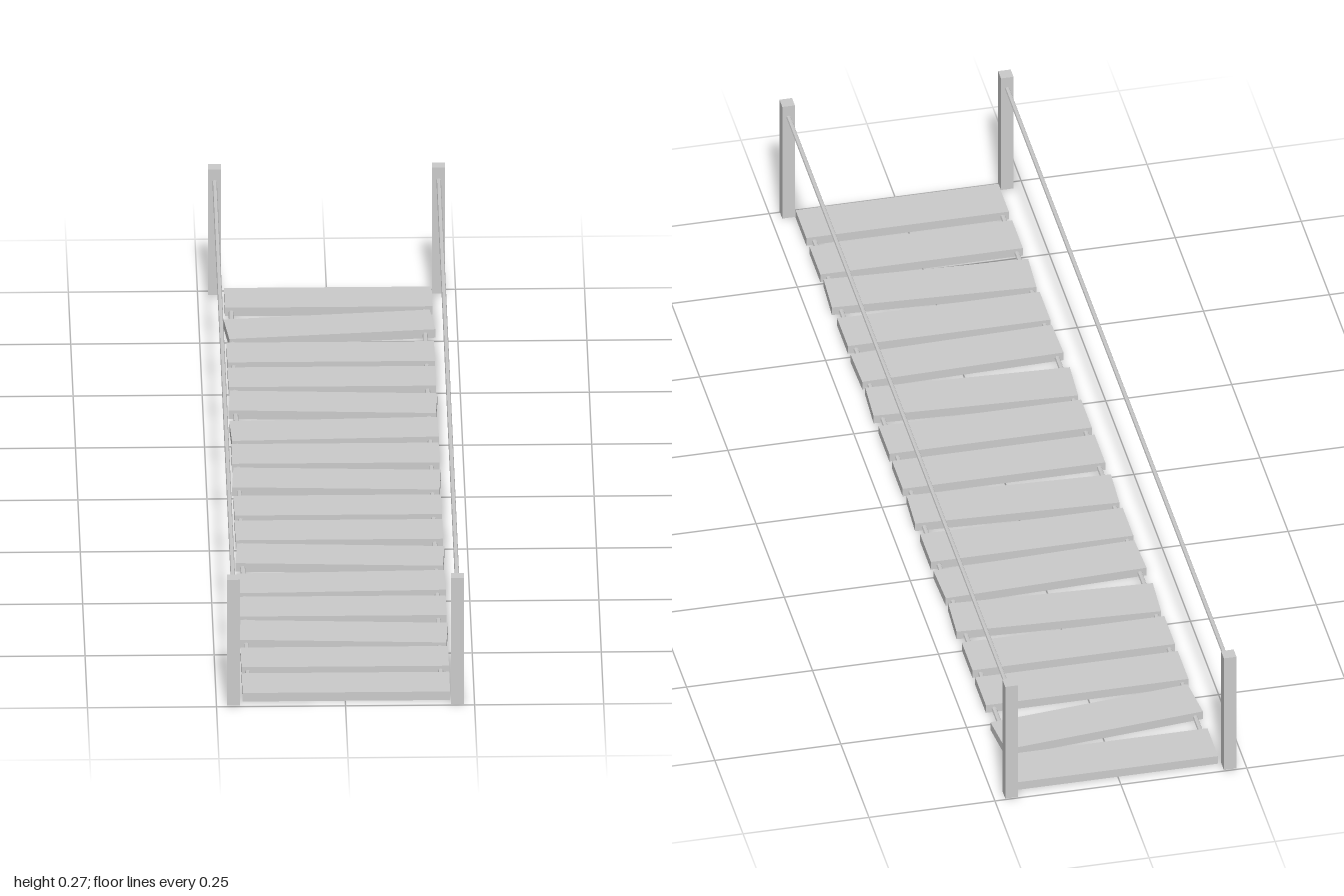
import * as THREE from 'three';

const material = new THREE.MeshStandardMaterial({ color: 0xcccccc, flatShading: true });

function addMesh(group, name, geometry, x, y, z) {
  const mesh = new THREE.Mesh(geometry, material);
  mesh.name = name;
  mesh.position.set(x, y, z);
  group.add(mesh);
  return mesh;
}

export function createModel() {
  const bridge = new THREE.Group();
  bridge.name = 'plankBridge';

  // Walkway planks: [z centre, yaw], some laid slightly askew
  const planks = [
    [-0.926, 0], [-0.795, 0.1], [-0.663, 0], [-0.544, 0],
    [-0.422, -0.05], [-0.292, 0.035], [-0.175, 0], [-0.053, -0.045],
    [0.074, 0], [0.193, 0], [0.313, -0.05], [0.443, 0.025],
    [0.56, 0], [0.682, -0.05], [0.804, 0], [0.928, 0],
  ];
  const plankGeometry = new THREE.BoxGeometry(0.402, 0.018, 0.095);
  planks.forEach(([z, yaw], i) => {
    addMesh(bridge, `plank${i + 1}`, plankGeometry, 0.002, 0.0105, z).rotation.y = yaw;
  });

  const postGeometry = new THREE.BoxGeometry(0.025, 0.266, 0.025);
  const handRope = new THREE.CylinderGeometry(0.0045, 0.0045, 1.96, 8).rotateX(Math.PI / 2);
  const deckRope = new THREE.CylinderGeometry(0.005, 0.005, 1.92, 8).rotateX(Math.PI / 2);

  for (const [side, s] of [['left', 1], ['right', -1]]) {
    // Corner posts
    for (const [end, e] of [['Front', 1], ['Back', -1]]) {
      addMesh(bridge, `${side}${end}Post`, postGeometry, s * 0.217, 0.137, e * 0.9875);
    }
    // Hand rope between the posts and support rope under the planks
    addMesh(bridge, `${side}HandRope`, handRope, s * 0.217, 0.243, 0);
    addMesh(bridge, `${side}DeckRope`, deckRope, s * 0.187, 0.009, 0);
  }
  return bridge;
}
